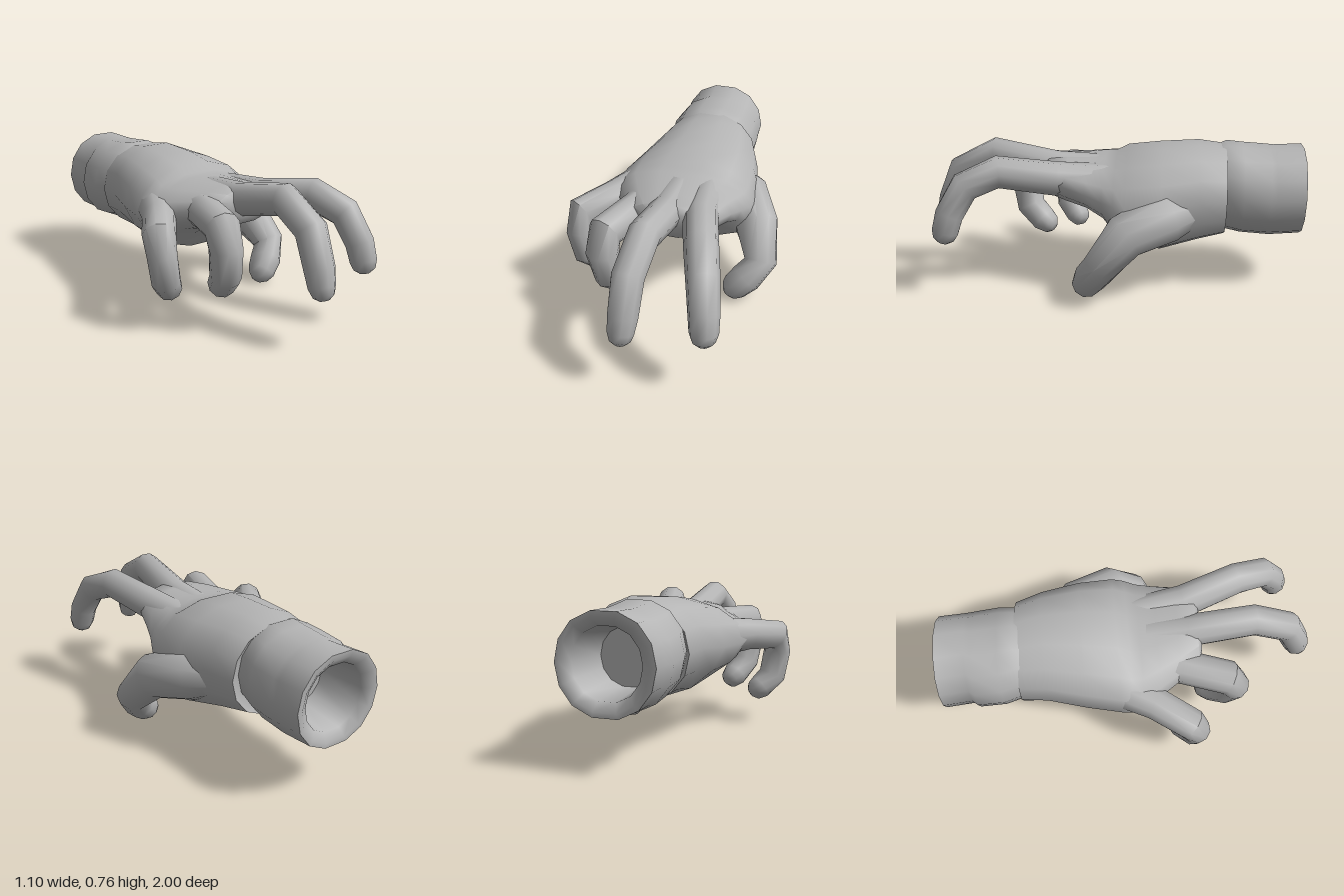
import * as THREE from 'three';
import { toCreasedNormals } from 'three/addons/utils/BufferGeometryUtils.js';

// Skin a list of rings (arrays of Vector3, equal length), closed at both ends.
function skin(rings) {
  const n = rings[0].length, pos = rings.flat().flatMap(p => [p.x, p.y, p.z]), idx = [];
  for (let i = 0; i < rings.length - 1; i++) {
    for (let j = 0; j < n; j++) {
      const a = i * n + j, b = i * n + (j + 1) % n;
      idx.push(a, b, b + n, a, b + n, a + n);
    }
  }
  const cap = (k, flip) => {
    const c = new THREE.Vector3();
    rings[k].forEach(p => c.addScaledVector(p, 1 / n));
    const m = pos.length / 3;
    pos.push(c.x, c.y, c.z);
    for (let j = 0; j < n; j++) {
      const a = k * n + j, b = k * n + (j + 1) % n;
      flip ? idx.push(m, b, a) : idx.push(m, a, b);
    }
  };
  cap(0, true);
  cap(rings.length - 1, false);
  const g = new THREE.BufferGeometry();
  g.setAttribute('position', new THREE.Float32BufferAttribute(pos, 3));
  g.setIndex(idx);
  return toCreasedNormals(g, 1.0);
}

// Cross-section across z: left/right x, bottom/top y, height of the widest line,
// and how far the underside leans towards the thumb.
function section([z, x0, x1, y0, y1, ym = (y0 + y1) / 2, lean = 0]) {
  const n = 14;
  return Array.from({ length: n }, (_, j) => {
    const a = j / n * Math.PI * 2, c = Math.cos(a), s = Math.sin(a);
    const x = (x0 + x1) / 2 + (x1 - x0) / 2 * Math.sign(c) * Math.abs(c) ** 0.9;
    return new THREE.Vector3(x + lean * Math.max(0, -s), ym + s * (s > 0 ? y1 - ym : ym - y0), z);
  });
}

// Digit along [x, y, z, radius] joints, bending in its own curl plane, with a rounded tip.
function digit(joints) {
  const n = 10, p = joints.map(j => new THREE.Vector3(...j)), radii = joints.map(j => j[3]);
  const dir = (a, b) => p[b].clone().sub(p[a]).normalize();
  const end = p.length - 1, tipRadius = radii[end];
  p.push(p[end].clone().addScaledVector(dir(end - 1, end), tipRadius * 0.4));
  radii.push(tipRadius * 0.5);
  const last = p.length - 1;
  const ref = dir(0, 1).cross(dir(last - 1, last)).normalize();
  return skin(p.map((c, i) => {
    const t = dir(Math.max(i - 1, 0), Math.min(i + 1, last));
    const side = ref.clone().addScaledVector(t, -ref.dot(t)).normalize();
    const up = t.clone().cross(side);
    return Array.from({ length: n }, (_, j) => {
      const a = j / n * Math.PI * 2;
      return c.clone().addScaledVector(side, radii[i] * Math.cos(a)).addScaledVector(up, radii[i] * Math.sin(a));
    });
  }));
}

export function createModel() {
  const hand = new THREE.Group();
  hand.name = 'hand';
  const grey = new THREE.MeshStandardMaterial({ color: 0xb4b4b4 });
  grey.name = 'grey';
  const add = (name, geometry) => {
    const m = new THREE.Mesh(geometry, grey);
    m.name = name;
    hand.add(m);
  };

  // Hollow wrist: inner wall, thick rim, outer wall with a wrapped band
  add('wrist', skin([
    [-0.72, -0.17, 0.13, 0.36, 0.65],
    [-0.97, -0.19, 0.15, 0.34, 0.68],
    [-1.0, -0.235, 0.195, 0.295, 0.72],
    [-1.0, -0.265, 0.22, 0.27, 0.75],
    [-0.85, -0.25, 0.23, 0.262, 0.745],
    [-0.82, -0.275, 0.235, 0.26, 0.745],
    [-0.68, -0.275, 0.245, 0.272, 0.755],
    [-0.6, -0.255, 0.23, 0.29, 0.765],
    [-0.52, -0.23, 0.21, 0.31, 0.73],
  ].map(section)));

  // Heel and back of the hand, stepped at the wrist, rising under the knuckles
  add('palm', skin([
    [-0.57, -0.245, 0.23, 0.3, 0.73],
    [-0.59, -0.265, 0.27, 0.268, 0.75],
    [-0.45, -0.285, 0.315, 0.25, 0.77, 0.52, 0.03],
    [-0.25, -0.335, 0.365, 0.212, 0.755, 0.5, 0.08],
    [-0.07, -0.375, 0.38, 0.245, 0.73, 0.5, 0.08],
    [-0.01, -0.385, 0.37, 0.3, 0.695, 0.51, 0.05],
    [0.05, -0.375, 0.34, 0.37, 0.69, 0.52, 0.02],
    [0.14, -0.32, 0.31, 0.42, 0.685, 0.55],
    [0.25, -0.25, 0.28, 0.455, 0.685, 0.58],
    [0.35, -0.17, 0.23, 0.49, 0.68, 0.6],
    [0.37, -0.11, 0.17, 0.54, 0.65, 0.6],
  ].map(section)));

  // Curled digits
  const digits = {
    indexFinger: [
      [0.13, 0.58, -0.06, 0.085], [0.185, 0.6, 0.3, 0.09], [0.27, 0.655, 0.59, 0.084],
      [0.325, 0.59, 0.75, 0.08], [0.355, 0.45, 0.83, 0.075], [0.363, 0.36, 0.855, 0.07], [0.365, 0.32, 0.865, 0.056]],
    middleFinger: [
      [0.0, 0.59, -0.05, 0.09], [0.01, 0.615, 0.32, 0.088], [0.01, 0.69, 0.65, 0.082],
      [0.0, 0.59, 0.84, 0.08], [-0.005, 0.42, 0.91, 0.075], [-0.01, 0.34, 0.935, 0.066], [-0.01, 0.3, 0.95, 0.052]],
    ringFinger: [
      [-0.11, 0.57, -0.05, 0.085], [-0.175, 0.565, 0.27, 0.09], [-0.25, 0.56, 0.5, 0.09],
      [-0.255, 0.46, 0.535, 0.085], [-0.235, 0.31, 0.51, 0.08], [-0.195, 0.235, 0.43, 0.073], [-0.175, 0.21, 0.385, 0.056]],
    littleFinger: [
      [-0.22, 0.53, -0.12, 0.11], [-0.35, 0.525, 0.11, 0.088], [-0.47, 0.505, 0.285, 0.085],
      [-0.475, 0.41, 0.315, 0.075], [-0.45, 0.27, 0.31, 0.075], [-0.395, 0.205, 0.255, 0.068], [-0.365, 0.185, 0.23, 0.055]],
    thumb: [
      [0.13, 0.46, -0.52, 0.06], [0.28, 0.43, -0.27, 0.14], [0.405, 0.365, -0.07, 0.12],
      [0.46, 0.215, 0.05, 0.09], [0.395, 0.13, 0.105, 0.087], [0.34, 0.075, 0.13, 0.077], [0.315, 0.05, 0.135, 0.06]],
  };
  for (const [name, joints] of Object.entries(digits)) add(name, digit(joints));

  return hand;
}
